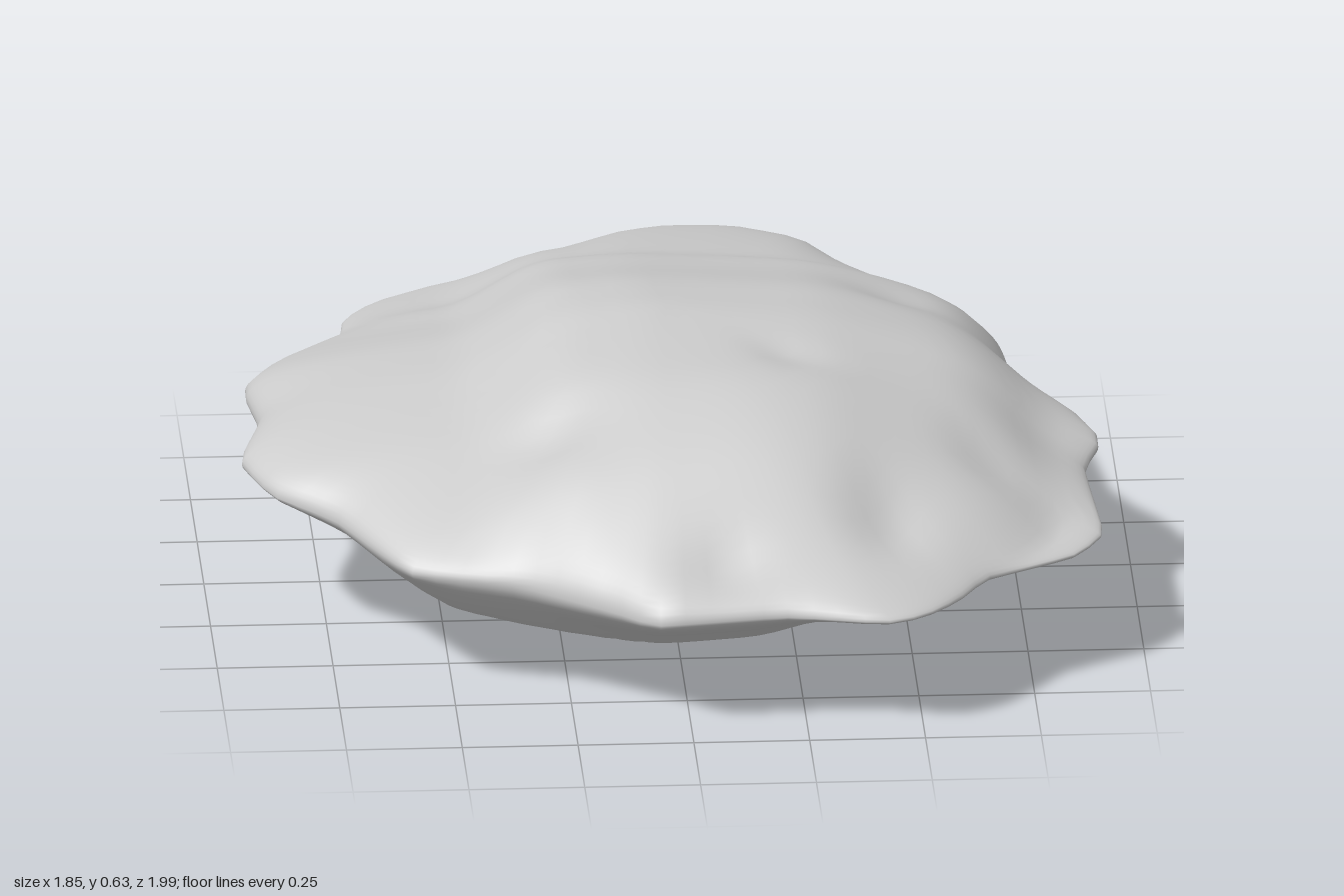
import * as THREE from 'three';
import { mergeVertices } from 'three/addons/utils/BufferGeometryUtils.js';

// Widest edge as [x, y, z], going back, left, front, right
const OUTLINE = [
  [0.05, 0.41, -1], [0.2, 0.41, -1], [0.35, 0.38, -0.96], [0.45, 0.33, -0.85], [0.6, 0.29, -0.72],
  [0.75, 0.29, -0.52], [0.77, 0.31, -0.25], [0.88, 0.33, -0.06], [0.93, 0.33, 0.1], [0.89, 0.31, 0.22],
  [0.91, 0.29, 0.54], [0.84, 0.28, 0.65], [0.65, 0.28, 0.77], [0.58, 0.27, 0.87], [0.5, 0.27, 0.96],
  [0.41, 0.27, 0.995], [0.2, 0.27, 0.95], [-0.07, 0.26, 0.96], [-0.15, 0.26, 0.89], [-0.36, 0.27, 0.74],
  [-0.59, 0.28, 0.67], [-0.74, 0.31, 0.43], [-0.87, 0.33, 0.32], [-0.93, 0.35, 0.17], [-0.88, 0.35, -0.04],
  [-0.9, 0.35, -0.24], [-0.83, 0.35, -0.38], [-0.68, 0.34, -0.56], [-0.66, 0.33, -0.7], [-0.59, 0.33, -0.8],
  [-0.45, 0.35, -0.85], [-0.2, 0.38, -0.88], [-0.05, 0.4, -0.97],
];

// Upper and lower profiles across x and along z, as [position, height]
const PEAK = 0.635;
const TOP_X = [[-0.93, 0.43], [-0.87, 0.445], [-0.42, 0.5], [-0.25, 0.615], [-0.07, 0.635], [0.33, 0.6],
  [0.62, 0.53], [0.7, 0.49], [0.8, 0.41], [0.93, 0.37]];
const TOP_Z = [[-1, 0.46], [-0.95, 0.47], [-0.6, 0.51], [-0.53, 0.55], [-0.4, 0.57], [-0.18, 0.625],
  [0, 0.635], [0.35, 0.575], [0.6, 0.49], [0.8, 0.4], [0.98, 0.34]];
const LOW_X = [[-0.93, 0.29], [-0.7, 0.2], [-0.5, 0.09], [-0.3, 0.04], [-0.05, 0], [0.17, 0.02],
  [0.28, 0.06], [0.47, 0.065], [0.65, 0.17], [0.93, 0.26]];
const LOW_Z = [[-0.97, 0.32], [-0.7, 0.18], [-0.6, 0.12], [-0.25, 0.02], [0.13, 0], [0.24, 0.045],
  [0.57, 0.06], [0.7, 0.13], [1, 0.22]];

// Dents and knobs on the upper face: [x, z, radius, height]
const TOP_MARKS = [
  [-0.27, 0.42, 0.1, -0.05], [0.25, 0.2, 0.07, -0.015], [0.2, 0.52, 0.27, 0.06], [0.08, 0.86, 0.07, -0.03],
  [0.44, 0.7, 0.09, -0.04], [0.67, 0.42, 0.09, -0.03], [0.52, -0.32, 0.1, -0.02],
];

function lookup(table, t) {
  if (t <= table[0][0]) return table[0][1];
  for (let i = 1; i < table.length; i++) {
    const [a, ya] = table[i - 1], [b, yb] = table[i];
    if (t <= b) return ya + (yb - ya) * (t - a) / (b - a);
  }
  return table[table.length - 1][1];
}

// Averages neighbouring samples to soften the corners of a profile
const profile = (table, t) =>
  [-0.04, -0.02, 0, 0.02, 0.04].reduce((sum, d) => sum + lookup(table, t + d), 0) / 5;

// Adds the falls along both axes so that corners fall further than sides
const combine = (a, b, q = 1.2) => (Math.max(a, 0) ** q + Math.max(b, 0) ** q) ** (1 / q);

const marks = (x, z) => TOP_MARKS.reduce(
  (sum, [mx, mz, r, h]) => sum + h * Math.exp(-((x - mx) ** 2 + (z - mz) ** 2) / (r * r)), 0);

// Rounded falloff: s is 0 at the centre and 1 on the rim
const fullness = s => Math.sqrt(1 - s ** 8);

function topHeight(x, z, s, rim) {
  const full = PEAK - combine(PEAK - profile(TOP_X, x), PEAK - profile(TOP_Z, z)) + marks(x, z);
  return rim + Math.max(full - rim, 0.03) * fullness(s);
}

function lowHeight(x, z, s, rim) {
  const full = combine(profile(LOW_X, x), profile(LOW_Z, z));
  return rim - Math.max(rim - full, 0.03) * fullness(s);
}

function createRockGeometry() {
  const around = 112, count = 26;
  const curve = new THREE.CatmullRomCurve3(
    OUTLINE.map(p => new THREE.Vector3(...p)), true, 'catmullrom', 0.2);
  const edge = curve.getSpacedPoints(around).slice(0, around);

  // Rings run from the top centre out to the rim and back under to the bottom centre
  const steps = [];
  for (let i = 0; i <= count; i++) steps.push(Math.sin(i / count * Math.PI / 2));
  const rings = [...steps.map(s => [s, topHeight]), ...steps.slice(0, -1).reverse().map(s => [s, lowHeight])];

  const positions = [], index = [];
  rings.forEach(([s, height], k) => {
    edge.forEach((p, i) => {
      const x = p.x * s, z = p.z * s;
      // The rim height evens out towards the centre so that all spokes meet
      const rim = THREE.MathUtils.lerp(0.32, p.y, s);
      positions.push(x, height(x, z, s, rim), z);
      if (k === rings.length - 1) return;
      const j = (i + 1) % around;
      const a = k * around + i, b = k * around + j, c = b + around, d = a + around;
      if (k > 0) index.push(a, b, c);
      if (k < rings.length - 2) index.push(a, c, d);
    });
  });

  let geometry = new THREE.BufferGeometry();
  geometry.setAttribute('position', new THREE.Float32BufferAttribute(positions, 3));
  geometry.setIndex(index);
  geometry = mergeVertices(geometry, 1e-5);
  geometry.computeVertexNormals();
  return geometry;
}

export function createModel() {
  const group = new THREE.Group();
  group.name = 'boulder';
  const rock = new THREE.Mesh(createRockGeometry(), new THREE.MeshStandardMaterial({ color: 0xcccccc }));
  rock.name = 'rock';
  group.add(rock);
  return group;
}
